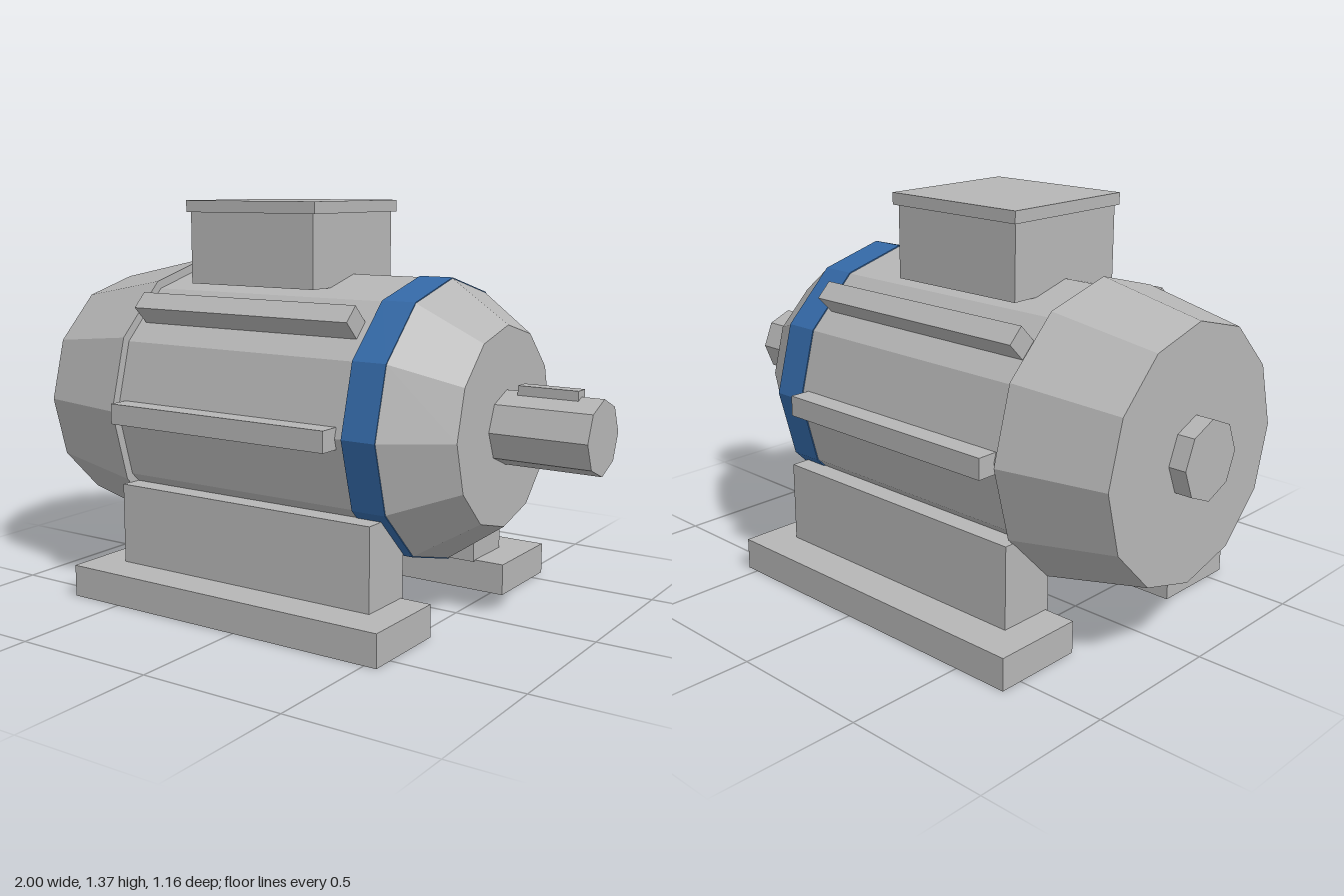
import * as THREE from 'three';

export function createModel() {
  const group = new THREE.Group();
  const make = (name, color) => {
    const m = new THREE.MeshStandardMaterial({ color, flatShading: true });
    m.name = name;
    return m;
  };
  const grey = make('castGrey', 0xb5b5b5);
  const blue = make('bandBlue', 0x3469a7);
  const AXIS = 0.655; // height of the shaft line

  const add = (name, geometry, material = grey) => {
    const mesh = new THREE.Mesh(geometry, material);
    mesh.name = name;
    group.add(mesh);
    return mesh;
  };

  // Box given by its limits on each axis
  const box = (name, x0, x1, y0, y1, z0, z1) => {
    const mesh = add(name, new THREE.BoxGeometry(x1 - x0, y1 - y0, z1 - z0));
    mesh.position.set((x0 + x1) / 2, (y0 + y1) / 2, (z0 + z1) / 2);
    return mesh;
  };

  // Faceted drum lying along x, r0 at x0 and r1 at x1
  const drum = (name, x0, x1, r0, r1, sides = 12, material = grey, open = false) => {
    const g = new THREE.CylinderGeometry(r1, r0, x1 - x0, sides, 1, open);
    g.rotateZ(-Math.PI / 2);
    g.translate((x0 + x1) / 2, AXIS, 0);
    return add(name, g, material);
  };

  // Housing, end bells and band
  drum('housing', -0.58, 0.465, 0.468, 0.468);
  drum('fanCowl', -0.94, -0.577, 0.42, 0.498);
  drum('frontBell', 0.465, 0.67, 0.47, 0.33);
  drum('paintedBand', 0.345, 0.467, 0.472, 0.472, 12, blue);

  // Shaft, rear hub and key
  drum('driveShaft', 0.66, 1, 0.122, 0.122, 8);
  drum('rearHub', -1, -0.93, 0.131, 0.131, 8);
  box('shaftKey', 0.72, 0.925, 0.74, 0.798, -0.025, 0.025);

  // Terminal box on top
  box('terminalBox', -0.425, 0.085, 1.085, 1.33, -0.242, 0.242);
  box('terminalLid', -0.435, 0.1, 1.33, 1.37, -0.255, 0.255);

  // Cooling ribs around the upper half
  for (const angle of [0, 45, 135, 180]) {
    const a = THREE.MathUtils.degToRad(angle);
    const rib = add('coolingRib', new THREE.BoxGeometry(0.87, 0.07, 0.08));
    rib.position.set(-0.115, AXIS + 0.492 * Math.sin(a), 0.492 * Math.cos(a));
    rib.rotation.x = -a;
  }

  // Mounting feet, mirrored front and back
  for (const s of [1, -1]) {
    const leg = box('footLeg', -0.582, 0.435, 0.105, 0.39, 0.245, 0.447);
    const plate = box('footPlate', -0.695, 0.545, 0, 0.11, 0.255, 0.58);
    leg.position.z *= s;
    plate.position.z *= s;
  }
  return group;
}
